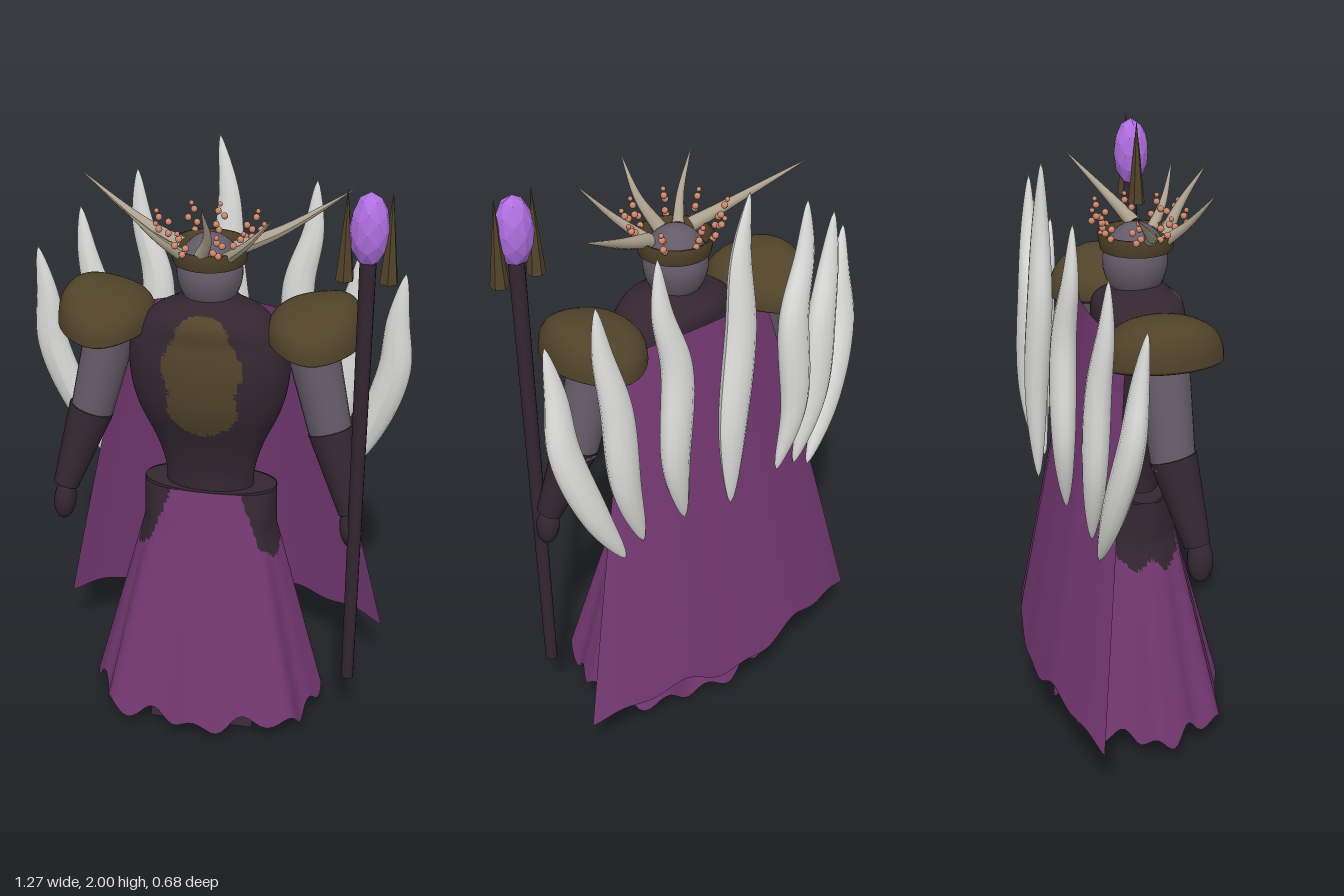
import * as THREE from 'three';

const mat = (name, color, double) => {
  const m = new THREE.MeshStandardMaterial({ color });
  m.name = name;
  if (double) m.side = THREE.DoubleSide;
  return m;
};
const V = (x, y, z) => new THREE.Vector3(x, y, z);
const CX = 0.013; // the body stands slightly off centre

// move every vertex by a rule
function warp(geo, rule) {
  const p = geo.attributes.position, v = new THREE.Vector3();
  for (let i = 0; i < p.count; i++) {
    v.fromBufferAttribute(p, i);
    rule(v, i);
    p.setXYZ(i, v.x, v.y, v.z);
  }
  geo.computeVertexNormals();
  return geo;
}

// split triangles into two material groups by their centre
function paint(geo, test) {
  const idx = geo.index.array, p = geo.attributes.position, sets = [[], []];
  for (let i = 0; i < idx.length; i += 3) {
    const c = V(0, 0, 0);
    for (let k = 0; k < 3; k++) c.add(new THREE.Vector3().fromBufferAttribute(p, idx[i + k]));
    sets[test(c.divideScalar(3)) ? 1 : 0].push(idx[i], idx[i + 1], idx[i + 2]);
  }
  geo.setIndex([...sets[0], ...sets[1]]);
  geo.addGroup(0, sets[0].length, 0);
  geo.addGroup(sets[0].length, sets[1].length, 1);
  return geo;
}

// tube along a curve with a radius profile, widened in x
function horn(points, radius, profile, widen = 1, segs = 24, sides = 10) {
  const curve = new THREE.CatmullRomCurve3(points);
  const geo = new THREE.TubeGeometry(curve, segs, radius, sides);
  return warp(geo, (v, i) => {
    const u = Math.floor(i / (sides + 1)) / segs, c = curve.getPointAt(u);
    v.sub(c).multiplyScalar(profile(u));
    v.x *= widen;
    v.add(c);
  });
}

// tapered limb from a (radius ra) to b (radius rb)
function limb(a, b, ra, rb, sides = 20) {
  const d = b.clone().sub(a);
  const geo = new THREE.CylinderGeometry(rb, ra, d.length(), sides);
  geo.applyQuaternion(new THREE.Quaternion().setFromUnitVectors(V(0, 1, 0), d.normalize()));
  const m = a.clone().add(b).multiplyScalar(0.5);
  return geo.translate(m.x, m.y, m.z);
}

export function createModel() {
  const root = new THREE.Group();
  root.name = 'robedKing';
  const purple = mat('purpleCloth', 0x743872, true);
  const dark = mat('darkLeather', 0x342631, true);
  const gold = mat('agedGold', 0x51432a);
  const skin = mat('greySkin', 0x645b69);
  const white = mat('paleSpine', 0xe0e0de);
  const bone = mat('boneHorn', 0xada18e);
  const copper = mat('copperBead', 0xcc866c);
  const violet = mat('violetCrystal', 0xaf6fe0);
  const add = (name, geo, m) => {
    const mesh = new THREE.Mesh(geo, m);
    mesh.name = name;
    root.add(mesh);
  };

  // boots and legs
  for (const [side, x] of [['right', -0.115], ['left', 0.14]]) {
    const boot = warp(new THREE.BoxGeometry(0.11, 0.09, 0.24).toNonIndexed().translate(x, 0.047, 0.08), v => {
      if (v.y > 0.05 && v.z > 0.1) v.z -= 0.05;
      if (v.y < 0.05 && v.z < 0) v.y += 0.015;
    });
    add(side + 'Boot', boot, dark);
    add(side + 'Leg', limb(V(x, 0.07, 0.04), V(x, 0.85, 0.02), 0.068, 0.08), dark);
  }

  // skirt with folds, a wavy hem and dark hip panels
  const skirtPts = [];
  for (let i = 0; i <= 48; i++) skirtPts.push(new THREE.Vector2(1, i / 48));
  const skirt = new THREE.LatheGeometry(skirtPts, 128);
  warp(skirt, v => {
    const a = Math.atan2(v.x, v.z), t = 1 - v.y;
    const fold = 0.018 * t * Math.cos(8 * a) + 0.006 * t * Math.cos(5 * a + 1);
    const flare = Math.max(0, (t - 0.18) / 0.82);
    const square = 1 + 0.07 * Math.sin(2 * a) ** 2;
    const rx = (0.225 + 0.165 * flare + fold) * square, rz = (0.1 + 0.18 * t + fold) * square;
    const hem = 0.08 + 0.024 * Math.cos(15 * a) + 0.014 * Math.cos(7 * a + 2);
    v.set(CX + rx * Math.sin(a), 0.895 - t * (0.895 - hem), 0.02 + 0.015 * t + rz * Math.cos(a));
  });
  paint(skirt, c => c.y > 0.675 + 0.02 * Math.sin(c.z * 60) && Math.abs(c.x - CX) > 0.12 + (0.89 - c.y) * 0.36);
  add('skirt', skirt, [purple, dark]);
  const belt = new THREE.CylinderGeometry(1, 1, 0.02, 48).scale(0.224, 1, 0.1).translate(CX, 0.888, 0.02);
  add('hipTop', belt, dark);

  // torso with a full chest and the chest plate as painted faces
  const profile = new THREE.SplineCurve([
    [0.148, 0.84], [0.15, 0.95], [0.18, 1.06], [0.232, 1.18], [0.258, 1.28], [0.262, 1.38],
    [0.24, 1.46], [0.185, 1.52], [0.12, 1.555], [0.085, 1.585],
  ].map(p => new THREE.Vector2(...p)));
  const torso = new THREE.LatheGeometry(profile.getPoints(70), 96);
  warp(torso, v => {
    const chest = THREE.MathUtils.smoothstep(v.y, 0.95, 1.25);
    const k = 0.52 + 0.07 * chest + 0.36 * THREE.MathUtils.smoothstep(v.y, 1.44, 1.6);
    v.x += CX;
    v.z = 0.03 + 0.013 * chest + v.z * k;
  });
  paint(torso, c => {
    const w = 0.122 + 0.012 * Math.sin(c.y * 34 - 1.5);
    return c.z > 0.04 && Math.abs((c.x - CX) / w) ** 2.4 + Math.abs((c.y - 1.342) / 0.208) ** 2.4 < 1;
  });
  add('torso', torso, [dark, gold]);

  // head
  const head = warp(new THREE.SphereGeometry(1, 32, 24), v => {
    const jaw = v.y < 0 ? 1 + 0.08 * v.y : 1;
    v.set(CX + v.x * 0.105 * jaw, 1.65 + v.y * 0.13, 0.035 + v.z * 0.105 * jaw);
  });
  add('head', head, skin);

  // crown band, horns and beads
  const band = [[0.108, 1.695], [0.116, 1.695], [0.126, 1.75], [0.114, 1.75], [0.108, 1.695]];
  add('crownBand', new THREE.LatheGeometry(band.map(p => new THREE.Vector2(...p)), 40).translate(CX, 0, 0.04), gold);
  const point = u => 1.001 - u;
  [
    [V(-0.07, 1.745, 0.06), V(-0.2, 1.795, 0.02), V(-0.44, 1.92, -0.09), 0.025],
    [V(0.1, 1.745, 0.06), V(0.23, 1.795, 0.02), V(0.46, 1.92, -0.09), 0.025],
    [V(-0.06, 1.73, 0.11), V(-0.12, 1.8, 0.17), V(-0.22, 1.92, 0.23), 0.02],
    [V(0.08, 1.73, 0.11), V(0.15, 1.8, 0.17), V(0.25, 1.92, 0.23), 0.02],
    [V(0, 1.73, 0.13), V(0.035, 1.82, 0.19), V(0.035, 1.95, 0.28), 0.024],
  ].forEach(([a, b, c, r]) => add('crownHorn', horn([a, b, c], r, point), bone));
  [[-0.06, -0.07], [0.02, -0.08], [0.12, -0.04], [-0.13, 0], [0.15, 0.05], [-0.11, 0.09], [-0.05, 0.16], [0.06, 0.16], [0.11, 0.13]]
    .forEach(([x, z], k) => {
      for (let j = 0; j < 5; j++) {
        const s = 0.94 + j * 0.07, w = 0.012 * Math.sin(k * 3.1 + j * 2.3);
        const bead = new THREE.SphereGeometry(j === 4 ? 0.008 : 0.011, 10, 8);
        add('crownBead', bead.translate(CX + (x - CX) * s + w, 1.75 + j * 0.019, 0.04 + (z - 0.04) * s - w), copper);
      }
    });

  // arms and shoulder guards
  for (const [side, s] of [['right', -1], ['left', 1]]) {
    const P = (x, y, z) => V(CX + s * x, y, z);
    add(side + 'UpperArm', limb(P(0.31, 1.5, 0.025), P(0.405, 1.11, 0.045), 0.088, 0.07), skin);
    add(side + 'Forearm', limb(P(0.4, 1.14, 0.045), P(0.485, 0.87, 0.1), 0.076, 0.043), dark);
    const h = P(0.488, 0.815, 0.11);
    const hand = new THREE.SphereGeometry(1, 16, 12).scale(0.038, 0.075, 0.042).rotateZ(s * 0.12);
    add(side + 'Hand', hand.translate(h.x, h.y, h.z), dark);
    const guard = warp(new THREE.SphereGeometry(1, 32, 24), v => {
      const out = v.x * s;
      const y = v.y > 0 ? 0.145 * v.y ** 0.8 + 0.035 * out * v.y : 0.03 * v.y;
      v.set(CX + s * 0.34 + v.x * 0.156, 1.452 + y - 0.01 * Math.cos(3 * v.x), 0.024 + v.z * 0.192);
    });
    add(side + 'ShoulderGuard', guard, gold);
  }

  // cape
  const cape = warp(new THREE.PlaneGeometry(2, 1, 64, 40), v => {
    const u = v.x, t = 0.5 - v.y, e = u * u;
    const hw = 0.28 + 0.305 * t ** 0.92;
    const hem = 0.24 - 0.028 * Math.cos(u * Math.PI * 2) + 0.014 * Math.cos(u * 15);
    const top = 1.5 - 0.025 * e;
    v.set(CX + u * hw, top + (hem - top) * t, -0.125 - 0.215 * t + e * (0.05 + 0.06 * t));
  });
  add('cape', cape, purple);

  // back spines, in S curves
  const swell = u => Math.max(0.002, Math.sin(Math.PI * u ** 0.9) ** 0.7);
  const spine = pts => add('backSpine', horn(pts, 0.042, swell, 1.38, 40, 12), white);
  spine([V(0.05, 0.91, -0.288), V(0.05, 1.2, -0.29), V(0.015, 1.55, -0.278), V(0.015, 1.8, -0.27), V(-0.015, 2, -0.27)]);
  const pairs = [
    [V(0.2, 0.91, -0.25), V(0.25, 1.15, -0.268), V(0.24, 1.5, -0.26), V(0.285, 1.7, -0.248), V(0.295, 1.88, -0.24)],
    [V(0.33, 0.85, -0.2), V(0.4, 1.1, -0.208), V(0.425, 1.4, -0.2), V(0.46, 1.6, -0.185), V(0.475, 1.76, -0.18)],
    [V(0.4, 0.81, -0.195), V(0.5, 1.02, -0.175), V(0.58, 1.28, -0.14), V(0.585, 1.47, -0.118), V(0.603, 1.64, -0.1)],
  ];
  for (const s of [-1, 1])
    for (const pts of pairs) spine(pts.map(p => V(CX + s * p.x, p.y, p.z)));

  // staff with faceted crystal and prongs
  add('staffShaft', limb(V(0.515, 0.22, 0.12), V(0.517, 1.78, 0.165), 0.021, 0.026, 10), dark);
  const crystal = new THREE.IcosahedronGeometry(1, 1).scale(0.061, 0.117, 0.061).translate(0.517, 1.876, 0.165);
  crystal.computeVertexNormals();
  add('staffCrystal', crystal, violet);
  for (const s of [-1, 1]) {
    const prong = new THREE.ConeGeometry(0.03, 0.285, 6).toNonIndexed();
    prong.computeVertexNormals();
    add('staffProng', prong.translate(0.515 + s * 0.066, 1.857, 0.165), gold);
  }
  return root;
}
